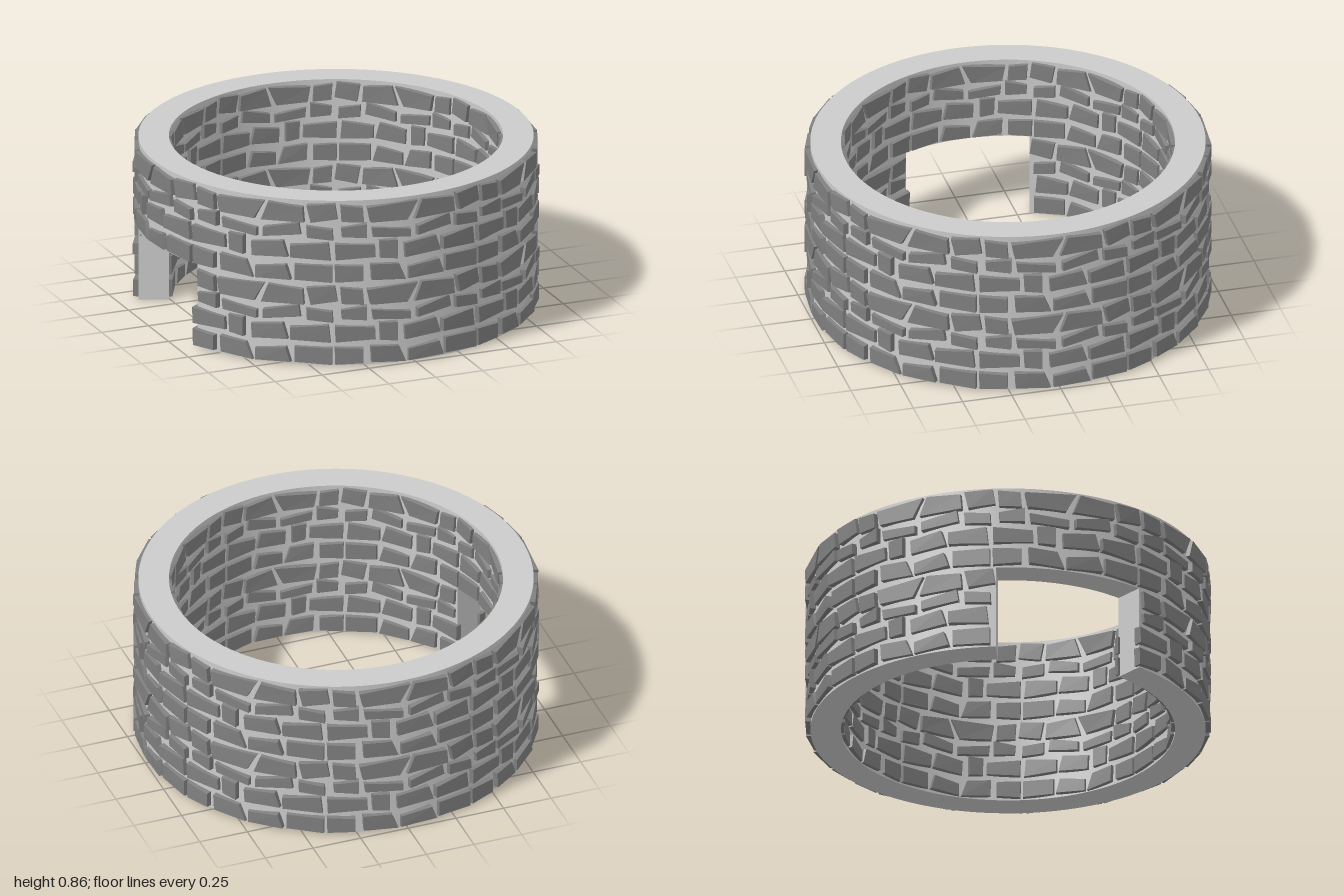
import * as THREE from 'three';
import { mergeGeometries, toCreasedNormals } from 'three/addons/utils/BufferGeometryUtils.js';

const OUTER = 0.97, INNER = 0.82, TIER = 0.4275;
const SECTIONS = 8, DOOR_SECTION = 6; // section 6 faces -x

// Stones of one 45 degree section, one tier high. Corners run bottom left,
// bottom right, top right, top left: four azimuths (degrees), then four heights.
const STONES = [
  [-21.6, -14.8, -15.2, -22, 0.32, 0.315, 0.4, 0.412],
  [-13.3, -2, 1.2, -14.3, 0.315, 0.31, 0.414, 0.4],
  [-0.2, 13, 12.6, 2, 0.31, 0.315, 0.4, 0.414],
  [14.5, 22.6, 21.8, 13.3, 0.315, 0.333, 0.42, 0.41],

  [-21.5, -14, -14, -21.8, 0.24, 0.235, 0.315, 0.295],
  [-12.5, -1.1, -1.1, -12.9, 0.235, 0.222, 0.27, 0.292],
  [0.5, 12, 11.4, 0.5, 0.227, 0.25, 0.318, 0.28],
  [13.4, 21.3, 21.1, 13.2, 0.235, 0.225, 0.287, 0.302],

  [-23.3, -11.4, -11.6, -23.5, 0.122, 0.13, 0.2, 0.212],
  [-10.4, -5.1, -5.1, -10.7, 0.124, 0.118, 0.222, 0.222],
  [-3, 8.3, 6.8, -3.3, 0.116, 0.13, 0.218, 0.196],
  [8.7, 20.6, 20, 8.6, 0.13, 0.118, 0.216, 0.2],

  [-23.4, -15, -15, -23.6, 0.005, 0.012, 0.095, 0.1],
  [-13, -2.4, -4.5, -13.3, 0.014, 0.002, 0.094, 0.104],
  [-2, 9.2, 7.7, -2, 0.003, 0.013, 0.094, 0.072],
  [9.8, 21, 21, 9.8, 0.012, 0.005, 0.098, 0.1],
];
// How far each stone's left and right ends stand out of the wall
const RELIEF = [[0.02, 0.026], [0.03, 0.02], [0.022, 0.028], [0.026, 0.018], [0.018, 0.03]];

// A box whose eight corners are moved onto the curved wall
function stoneGeometry(stone, relief, azimuth, base, inside) {
  const geo = new THREE.BoxGeometry(1, 1, 1);
  const p = geo.attributes.position;
  for (let i = 0; i < p.count; i++) {
    const right = (p.getX(i) > 0) !== inside;
    const top = p.getY(i) > 0, face = p.getZ(i) > 0;
    const c = top ? (right ? 2 : 3) : (right ? 1 : 0);
    const inset = face ? 1 : 0;
    const deg = azimuth + stone[c] + inset * (right ? -0.25 : 0.25);
    const y = base + stone[4 + c] + inset * (top ? -0.004 : 0.004);
    const out = face ? relief[right ? 1 : 0] : -0.015;
    const r = inside ? INNER - out * 0.65 : OUTER + out;
    const a = THREE.MathUtils.degToRad(deg);
    p.setXYZ(i, r * Math.sin(a), y, r * Math.cos(a));
  }
  geo.computeVertexNormals();
  return geo;
}

// All stones of one tier on one side of the wall
function stoneTier(tier, inside) {
  const parts = [];
  for (let s = 0; s < SECTIONS; s++) {
    if (tier === 0 && s === DOOR_SECTION) continue;
    STONES.forEach((stone, i) => {
      parts.push(stoneGeometry(stone, RELIEF[i % RELIEF.length], s * 45, tier * TIER, inside));
    });
  }
  return mergeGeometries(parts);
}

// Wall ring, with an optional gap (half angle) around -x
function ringGeometry(gap) {
  const shape = new THREE.Shape();
  const end = Math.PI - gap;
  shape.absarc(0, 0, OUTER, -end, end, false);
  if (gap > 0) {
    shape.absarc(0, 0, INNER, end, -end, true);
    shape.closePath();
  } else {
    const hole = new THREE.Path();
    hole.absarc(0, 0, INNER, 0, Math.PI * 2, true);
    shape.holes.push(hole);
  }
  const geo = new THREE.ExtrudeGeometry(shape, { depth: TIER, bevelEnabled: false, curveSegments: 80 });
  geo.rotateX(-Math.PI / 2);
  return toCreasedNormals(geo, 0.5);
}

export function createModel() {
  const group = new THREE.Group();
  group.name = 'roundStoneWall';
  const mortar = new THREE.MeshStandardMaterial({ color: 0xcccccc });
  const stone = new THREE.MeshStandardMaterial({ color: 0x808080, flatShading: true });
  const add = (name, geo, mat, y = 0) => {
    const mesh = new THREE.Mesh(geo, mat);
    mesh.name = name;
    mesh.position.y = y;
    group.add(mesh);
  };

  // Wall core: lower tier has the doorway, upper tier is a full ring
  add('lowerWall', ringGeometry(Math.PI / SECTIONS), mortar);
  add('upperWall', ringGeometry(0), mortar, TIER);

  // Facing stones on both sides
  ['lower', 'upper'].forEach((label, tier) => {
    add(`${label}OuterStones`, stoneTier(tier, false), stone);
    add(`${label}InnerStones`, stoneTier(tier, true), stone);
  });
  return group;
}
